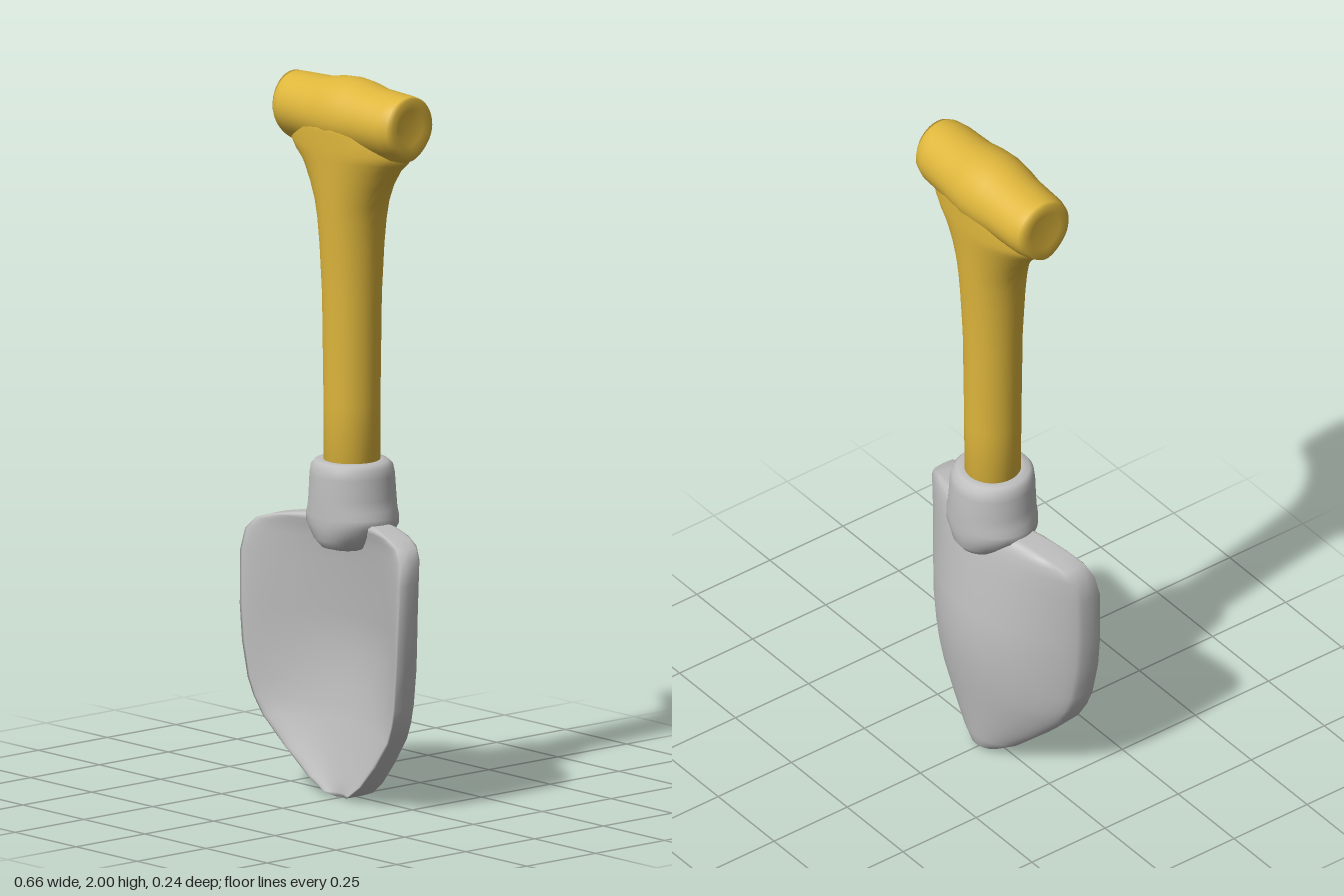
import * as THREE from 'three';

const SIDES = 48;

// Skins a list of closed rings; the ends are closed with a centre point.
function loft(rows, point) {
  const pos = [], index = [];
  const centre = (row) => {
    const c = new THREE.Vector3();
    for (let j = 0; j < SIDES; j++) c.add(point(row, (j / SIDES) * Math.PI * 2));
    return c.divideScalar(SIDES);
  };
  rows.forEach((row) => {
    for (let j = 0; j < SIDES; j++) pos.push(...point(row, (j / SIDES) * Math.PI * 2).toArray());
  });
  const n = rows.length, first = n * SIDES, last = first + 1;
  pos.push(...centre(rows[0]).toArray(), ...centre(rows[n - 1]).toArray());
  for (let j = 0; j < SIDES; j++) {
    const k = (j + 1) % SIDES;
    for (let i = 0; i < n - 1; i++) {
      const a = i * SIDES + j, b = i * SIDES + k;
      index.push(a, a + SIDES, b, b, a + SIDES, b + SIDES);
    }
    index.push(first, j, k);
    index.push(last, (n - 1) * SIDES + k, (n - 1) * SIDES + j);
  }
  const g = new THREE.BufferGeometry();
  g.setAttribute('position', new THREE.Float32BufferAttribute(pos, 3));
  g.setIndex(index);
  g.computeVertexNormals();
  return g;
}

const power = (v, p) => Math.sign(v) * Math.pow(Math.abs(v), p);

// Upright ring: [y, half width, half depth, z centre, sharpness of the sides]
const upright = ([y, rx, rz, z = 0, sharp = 1], a) =>
  new THREE.Vector3(rx * Math.cos(a), y, z + rz * power(Math.sin(a), sharp));

// Sideways ring narrowing below: [x, half height, half depth, y centre, downward stretch]
function sideways([x, ry, rz, y, drop], a) {
  const s = Math.sin(a), low = Math.min(s, 0);
  return new THREE.Vector3(x, y + ry * s * (s < 0 ? drop : 1), -0.004 + rz * Math.cos(a) * (1 - 0.25 * low * low));
}

// Dished blade ring, thicker at the rim: [y, half width, back z at the middle, front z at the rim, half thickness]
function dished([y, w, back, front, t], a) {
  const u = Math.cos(a), mid = back + t, thick = t * (1 + 0.15 * u * u);
  return new THREE.Vector3(w * u, y, mid + (front - t * 0.7 - mid) * u * u + thick * power(Math.sin(a), 0.28));
}

export function createModel() {
  const group = new THREE.Group();
  const yellow = new THREE.MeshStandardMaterial({ color: 0xdeb63c });
  yellow.name = 'yellow handle';
  const grey = new THREE.MeshStandardMaterial({ color: 0xbfbfbf });
  grey.name = 'grey metal';

  const add = (name, geometry, material) => {
    const mesh = new THREE.Mesh(geometry, material);
    mesh.name = name;
    group.add(mesh);
  };

  // Shaft flaring into a web under the grip
  add('shaft', loft([
    [0.88, 0.077, 0.077, -0.002], [1.1, 0.077, 0.078, -0.002], [1.4, 0.081, 0.082, -0.002],
    [1.54, 0.088, 0.089, -0.002], [1.61, 0.098, 0.093, -0.002, 1.05], [1.66, 0.112, 0.096, -0.002, 1.1],
    [1.71, 0.14, 0.099, -0.002, 1.2], [1.76, 0.18, 0.102, -0.003, 1.3], [1.785, 0.212, 0.104, -0.003, 1.3],
    [1.81, 0.234, 0.105, -0.003, 1.3], [1.86, 0.236, 0.106, -0.003, 1.4], [1.9, 0.2, 0.106, -0.003, 1.5],
  ], upright), yellow);

  // Cross grip, swollen in the middle
  add('grip', loft([
    [-0.238, 0.055, 0.05, 1.893, 1.1], [-0.242, 0.088, 0.076, 1.893, 1.05], [-0.228, 0.089, 0.087, 1.892, 1.1],
    [-0.2, 0.09, 0.095, 1.892, 1.15], [-0.1, 0.096, 0.1, 1.89, 1.1], [-0.05, 0.106, 0.107, 1.89, 1],
    [0, 0.11, 0.111, 1.89, 1], [0.05, 0.106, 0.107, 1.89, 1], [0.1, 0.096, 0.1, 1.89, 1.1],
    [0.2, 0.09, 0.095, 1.892, 1.15], [0.232, 0.088, 0.084, 1.893, 1.05], [0.244, 0.084, 0.072, 1.893, 0.92],
    [0.238, 0.05, 0.045, 1.895, 1],
  ], sideways), yellow);

  // Socket holding the shaft
  add('socket', loft([
    [0.692, 0.045, 0.06, -0.006], [0.702, 0.075, 0.095, -0.006], [0.725, 0.098, 0.113, -0.005],
    [0.765, 0.135, 0.118, -0.004], [0.79, 0.136, 0.118, -0.004], [0.81, 0.127, 0.118, -0.004],
    [0.84, 0.122, 0.118, -0.004], [0.9, 0.117, 0.116, -0.003], [0.925, 0.112, 0.112, -0.002],
    [0.938, 0.1, 0.1, 0], [0.94, 0.08, 0.08, 0],
  ], upright), grey);

  // Blade, hollow towards the front with a thick rounded rim
  add('blade', loft([
    [0.003, 0.022, -0.045, 0.035, 0.038], [0.015, 0.058, -0.06, 0.052, 0.05],
    [0.05, 0.112, -0.067, 0.062, 0.049], [0.12, 0.187, -0.076, 0.08, 0.047],
    [0.2, 0.26, -0.088, 0.098, 0.045], [0.25, 0.287, -0.095, 0.107, 0.045],
    [0.3, 0.304, -0.101, 0.114, 0.045], [0.4, 0.32, -0.111, 0.121, 0.045],
    [0.5, 0.328, -0.102, 0.122, 0.045], [0.65, 0.332, -0.082, 0.117, 0.046],
    [0.71, 0.324, -0.072, 0.105, 0.046], [0.742, 0.297, -0.064, 0.09, 0.046],
    [0.758, 0.25, -0.058, 0.073, 0.046], [0.769, 0.19, -0.052, 0.055, 0.043],
    [0.776, 0.14, -0.04, 0.035, 0.033],
  ], dished), grey);

  return group;
}
